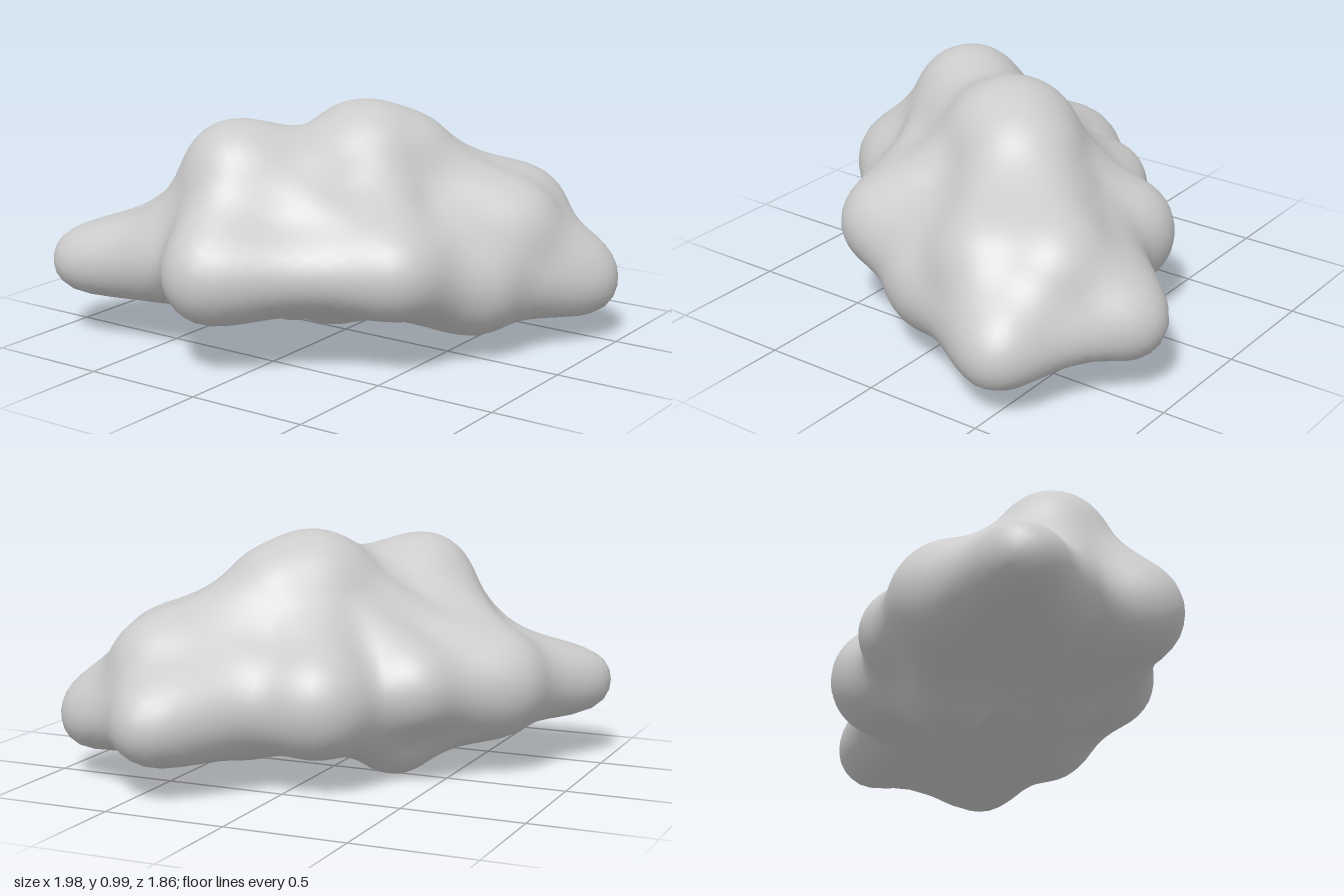
import * as THREE from 'three';
import { mergeVertices } from 'three/addons/utils/BufferGeometryUtils.js';

// Puffs of the cloud: centre x, y, z and radius
const puffs = {
  leftTip: [-0.82, 0.31, 0.63, 0.175],
  leftShoulder: [-0.60, 0.36, 0.20, 0.235],
  leftFront: [-0.48, 0.36, 0.55, 0.205],
  leftCore: [-0.30, 0.36, 0.30, 0.23],
  frontLobe: [-0.10, 0.39, 0.725, 0.22],
  frontPeak: [-0.20, 0.70, 0.43, 0.24],
  saddle: [0.00, 0.62, 0.22, 0.26],
  mainPeak: [0.10, 0.69, 0.00, 0.285],
  backPeak: [0.18, 0.67, -0.10, 0.26],
  sideShoulder: [0.59, 0.44, -0.27, 0.24],
  backShoulder: [0.50, 0.44, -0.48, 0.25],
  rightFront: [0.46, 0.40, 0.35, 0.20],
  rightSide: [0.58, 0.30, -0.02, 0.23],
  rightTip: [0.81, 0.24, -0.47, 0.19],
  backTip: [0.40, 0.29, -0.755, 0.195],
  backLeft: [-0.38, 0.38, -0.12, 0.19],
  backSide: [-0.10, 0.35, -0.40, 0.225],
  backCore: [0.20, 0.35, -0.40, 0.25],
  core: [0.12, 0.36, 0.25, 0.24],
  underside: [-0.26, 0.20, 0.00, 0.20],
};

// Each puff runs in a waisted bridge to the ones listed after it
const bridges = {
  leftTip: ['leftShoulder', 'leftFront'],
  leftShoulder: ['leftFront', 'backLeft', 'frontPeak', 'mainPeak', 'underside'],
  leftCore: ['leftShoulder', 'leftFront', 'frontLobe', 'underside', 'core', 'frontPeak'],
  frontPeak: ['leftFront', 'frontLobe', 'rightFront', 'saddle'],
  mainPeak: ['saddle', 'backPeak', 'backSide', 'backLeft', 'rightFront'],
  backPeak: ['sideShoulder', 'backShoulder', 'rightSide', 'backTip', 'backCore', 'backSide'],
  sideShoulder: ['backShoulder', 'rightTip', 'rightSide', 'rightFront'],
  backShoulder: ['rightTip', 'backTip', 'backCore'],
  rightSide: ['rightTip', 'rightFront', 'backCore'],
  rightTip: ['backTip', 'backCore'],
  backCore: ['backTip', 'backSide', 'core'],
  core: ['rightSide', 'rightFront', 'frontLobe', 'backSide', 'saddle', 'frontPeak'],
  frontLobe: ['rightFront'],
  underside: ['backSide', 'backLeft', 'leftFront', 'frontLobe'],
};

const toBall = ([x, y, z, r]) => ({ c: new THREE.Vector3(x, y, z), r });
const links = Object.entries(bridges).flatMap(([from, targets]) => targets.map((to) => {
  const a = toBall(puffs[from]), b = toBall(puffs[to]);
  const axis = b.c.clone().sub(a.c);
  return { a, b, axis, lengthSq: axis.lengthSq(), waist: 0.09 * axis.length() };
}));

// Distance to the nearest bridge, with a thin skin that the smoothing takes off
const SKIN = 0.014;
const offset = new THREE.Vector3();
function field(p) {
  let nearest = Infinity;
  for (const { a, b, axis, lengthSq, waist } of links) {
    offset.subVectors(p, a.c);
    const t = THREE.MathUtils.clamp(offset.dot(axis) / lengthSq, 0, 1);
    const radius = THREE.MathUtils.lerp(a.r, b.r, t) - 4 * waist * t * (1 - t);
    nearest = Math.min(nearest, offset.addScaledVector(axis, -t).length() - radius);
  }
  return nearest - SKIN;
}

// Outermost point of the cloud along a ray from its middle
function surfacePoint(origin, dir) {
  const p = new THREE.Vector3();
  let t = 1.5;
  for (let i = 0; i < 80; i++) {
    const d = field(p.copy(origin).addScaledVector(dir, t));
    if (d < 0.0005 || t < 0.05) break;
    t -= d * 0.9;
  }
  return p;
}

// Moves every vertex half way to the mean of its neighbours
function smooth(geometry, rounds) {
  const p = geometry.attributes.position.array;
  const index = geometry.index.array;
  for (let round = 0; round < rounds; round++) {
    const sum = new Float32Array(p.length);
    const count = new Float32Array(p.length / 3);
    for (let i = 0; i < index.length; i++) {
      const v = index[i];
      const next = index[i % 3 === 2 ? i - 2 : i + 1];
      for (let k = 0; k < 3; k++) sum[v * 3 + k] += p[next * 3 + k];
      count[v]++;
    }
    for (let j = 0; j < p.length; j++) {
      p[j] = (p[j] + sum[j] / count[Math.floor(j / 3)]) / 2;
    }
  }
}

export function createModel() {
  const group = new THREE.Group();
  group.name = 'cloud';

  // A sphere whose vertices are pushed out onto the bridged puffs
  let geometry = new THREE.IcosahedronGeometry(1, 20);
  geometry.deleteAttribute('uv');
  geometry.deleteAttribute('normal');
  geometry = mergeVertices(geometry, 1e-4);
  const position = geometry.attributes.position;
  const origin = new THREE.Vector3(0, 0.4, 0);
  const dir = new THREE.Vector3();
  for (let i = 0; i < position.count; i++) {
    dir.fromBufferAttribute(position, i);
    // Crowd the vertices towards the two long ends
    const along = (dir.x - dir.z * 0.7) * 0.25;
    dir.x += along;
    dir.z -= along * 0.7;
    const p = surfacePoint(origin, dir.normalize());
    position.setXYZ(i, p.x, p.y, p.z);
  }
  smooth(geometry, 7);

  // Centre it and stand it on the ground
  geometry.computeBoundingBox();
  const { min, max } = geometry.boundingBox;
  geometry.translate(-(min.x + max.x) / 2, -min.y, -(min.z + max.z) / 2);
  geometry.computeVertexNormals();

  const body = new THREE.Mesh(geometry, new THREE.MeshStandardMaterial({ color: 0xcccccc }));
  body.name = 'cloudBody';
  group.add(body);
  return group;
}
